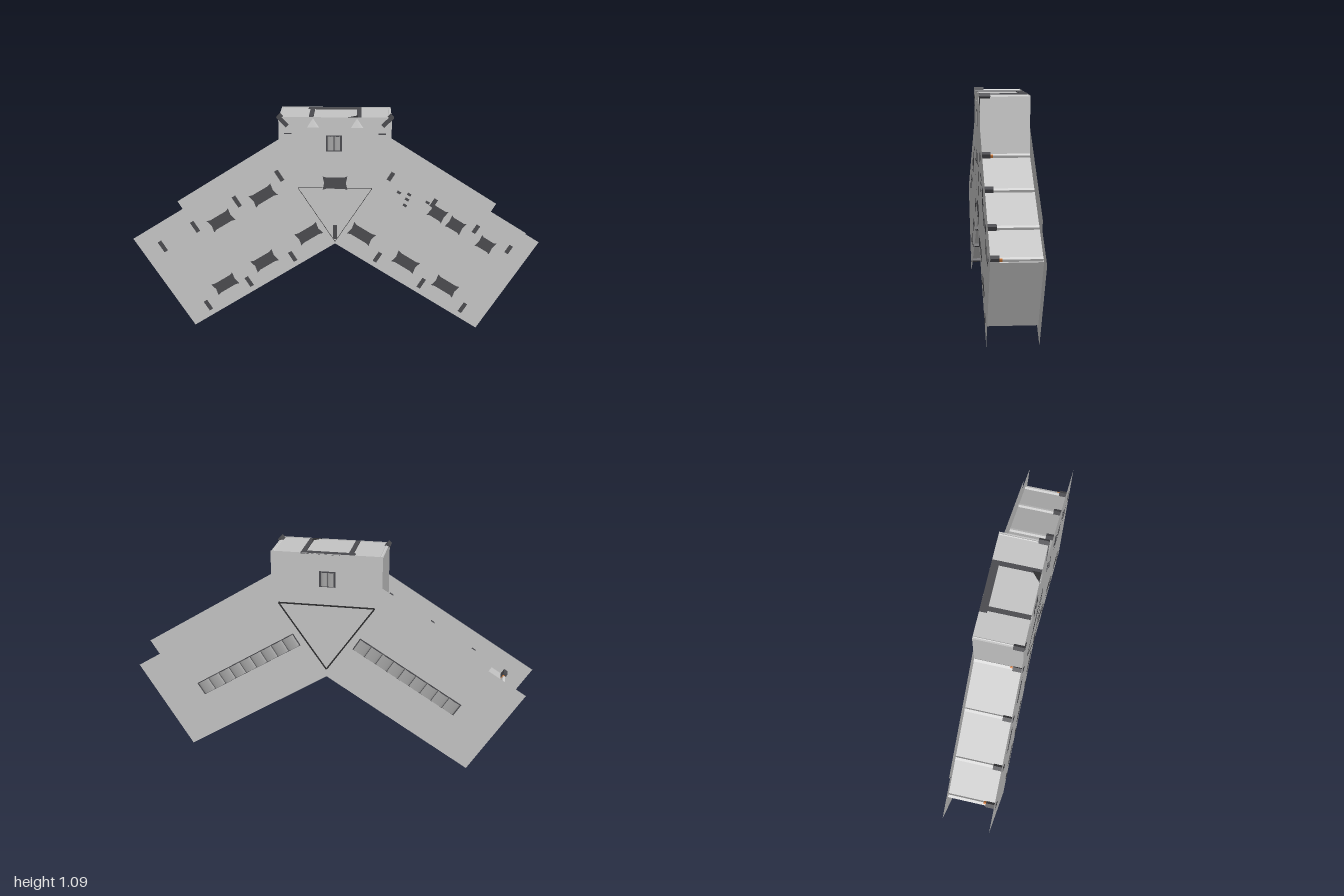
import * as THREE from 'three';

const mat = (name, color, side = THREE.FrontSide) => {
  const m = new THREE.MeshStandardMaterial({ color, side });
  m.name = name;
  return m;
};

const FRONT = 0.121, BACK = -0.115, DEPTH = FRONT - BACK, MID = (FRONT + BACK) / 2;
const SLOPE = Math.atan2(0.46, 0.74); // fall of each wing away from the centre

export function createModel() {
  const root = new THREE.Group();
  root.name = 'wingedBuilding';
  const pale = mat('paleGrey', 0xc4c4c4, THREE.DoubleSide);
  const light = mat('lightGrey', 0xd2d2d2);
  const dark = mat('darkGrey', 0x4a4a4e);
  const line = mat('charcoal', 0x2c2c2e);
  const mid = mat('midGrey', 0xa4a4a4);
  const orange = mat('orange', 0xd8803c);

  const add = (name, geo, material, x = 0, y = 0, z = 0, rot = 0, parent = root) => {
    const m = new THREE.Mesh(geo, material);
    m.name = name;
    m.position.set(x, y, z);
    m.rotation.z = rot;
    parent.add(m);
    return m;
  };
  const box = (name, size, material, x, y, z, rot = 0, parent = root) =>
    add(name, new THREE.BoxGeometry(...size), material, x, y, z, rot, parent);
  const polygon = (pts) => new THREE.Shape(pts.map(([x, y]) => new THREE.Vector2(x, y)));
  const mirrored = (half) => [...half, ...half.filter(([x]) => x !== 0).reverse().map(([x, y]) => [-x, y])];

  // Front and back slabs; the back one steps in near the wing tips
  const frontHalf = [[0, 0.445], [0.71, 0], [1, 0.46], [0.27, 0.915], [0.27, 1.08]];
  const backHalf = [[0, 0.445], [0.71, 0], [0.975, 0.425], [0.79, 0.54], [0.815, 0.582], [0.27, 0.925], [0.27, 1.08]];
  add('frontSlab', new THREE.ShapeGeometry(polygon(mirrored(frontHalf))), pale, 0, 0, FRONT);
  add('backSlab', new THREE.ShapeGeometry(polygon(mirrored(backHalf))), pale, 0, 0, BACK);

  // Recessed walls between the slabs
  const wall = (name, [ax, ay], [bx, by]) => {
    const m = add(name, new THREE.PlaneGeometry(Math.hypot(bx - ax, by - ay), DEPTH), pale, (ax + bx) / 2, (ay + by) / 2, MID);
    m.rotation.order = 'ZXY';
    m.rotation.set(-Math.PI / 2, 0, Math.atan2(by - ay, bx - ax));
  };
  for (const s of [1, -1]) {
    wall('upperWingWall', [s * 0.27, 0.79], [s * 0.865, 0.415]);
    wall('wingEndWall', [s * 0.865, 0.415], [s * 0.66, 0.08]);
    wall('lowerWingWall', [s * 0.66, 0.08], [0, 0.49]);
    wall('towerSideWall', [s * 0.27, 0.79], [s * 0.27, 1.075]);
  }
  wall('towerRoof', [-0.27, 1.075], [0.27, 1.075]);

  // Ribs across the walls: dark head at the front, slim pale tail behind
  const rib = (x, y, rot, length, lamp) => {
    const g = new THREE.Group();
    g.name = 'wallRib';
    g.position.set(x, y, 0);
    g.rotation.z = rot;
    root.add(g);
    box('ribHead', [0.02, length, 0.05], dark, 0, 0, 0.0985, 0, g);
    box('ribTail', [0.014, length * 0.6, 0.187], light, 0, 0, -0.02, 0, g);
    if (lamp) box('ribLamp', [0.008, length * 0.65, 0.012], orange, 0.004, 0, 0.067, 0, g);
  };
  for (const s of [1, -1]) {
    [0.27, 0.48, 0.69, 0.855].forEach((x, i) =>
      rib(s * x, 0.79 - (x - 0.27) * 0.63, -s * SLOPE, s > 0 ? 0.045 : 0.06, i % 3 === 0));
    [0.21, 0.43, 0.64].forEach((x) => rib(s * x, 0.505 - x * 0.62, -s * SLOPE, 0.055, false));
    // Slanted rib on each roof corner
    rib(s * 0.25, 1.06, -s * Math.PI / 4, 0.065, false);
    box('cornerMark', [0.035, 0.006, 0.004], dark, s * 0.225, 1.0, FRONT);
  }
  rib(0, 0.505, 0, 0.07, false);

  // Waisted dark windows on the front
  const windowShape = (w) => new THREE.ShapeGeometry(polygon([
    [-w, -0.034], [-w * 0.7, -0.028], [w * 0.7, -0.028], [w, -0.034],
    [w * 0.88, 0], [w, 0.034], [w * 0.7, 0.028], [-w * 0.7, 0.028], [-w, 0.034], [-w * 0.88, 0]]));
  const frontWindow = (x, y, w, rot) => add('frontWindow', windowShape(w), dark, x, y, FRONT + 0.002, rot);
  frontWindow(0, 0.755, 0.06, 0);
  for (const [x, y] of [[0.13, 0.495], [0.35, 0.35], [0.55, 0.225]])
    for (const s of [1, -1]) frontWindow(s * x, y, 0.063, -s * SLOPE);
  frontWindow(-0.56, 0.56, 0.063, SLOPE);
  frontWindow(-0.35, 0.69, 0.063, SLOPE);
  for (const [x, y] of [[0.5, 0.605], [0.59, 0.545], [0.74, 0.445]]) frontWindow(x, y, 0.042, -SLOPE);
  for (const [x, y] of [[0.31, 0.71], [0.35, 0.675], [0.36, 0.7], [0.45, 0.66], [0.34, 0.645]])
    box('frontStud', [0.02, 0.012, 0.004], dark, x, y, FRONT, -SLOPE);

  // Framed bowed panes on both faces of the tower
  const bow = (w, h, d) => {
    const g = new THREE.CylinderGeometry(w / 2, w / 2, h, 16, 1, true, -Math.PI / 2, Math.PI);
    return g.scale(1, 1, d / (w / 2));
  };
  for (const s of [1, -1]) {
    const z = s > 0 ? FRONT : BACK;
    box('towerWindowFrame', [0.078, 0.078, 0.004], dark, -0.005, 0.953, z);
    for (const dx of [-0.016, 0.016]) {
      const pane = add('towerWindowPane', bow(0.028, 0.068, 0.0055), mid, -0.005 + dx, 0.953, z + s * 0.0015);
      if (s < 0) pane.rotation.y = Math.PI;
    }
    // Pale shades at the tower top
    const shade = add('towerShade', new THREE.ConeGeometry(0.03, 0.045, 16), light, s * 0.105, 1.052, FRONT);
    shade.scale.z = 0.1;
  }

  // Door frame on the tower roof
  box('roofFrameBack', [0.26, 0.005, 0.036], dark, -0.005, 1.077, -0.097);
  for (const s of [1, -1]) {
    box('roofFrameSide', [0.022, 0.005, 0.2], dark, s * 0.114, 1.077, 0.02);
    const foot = add('roofFrameFoot', new THREE.ShapeGeometry(polygon([[0, 0], [s * 0.05, 0], [s * 0.05, 0.045]])),
      mat('darkGrey', 0x4a4a4e, THREE.DoubleSide), s * 0.06, 1.08, 0.12);
    foot.material = line;
    foot.rotation.x = -Math.PI / 2;
    if (s < 0) foot.geometry.index.array.reverse();
  }

  // Triangular hub plate with dark edging on the back
  const strip = (name, [ax, ay], [bx, by], z, w) =>
    box(name, [Math.hypot(bx - ax, by - ay), w, 0.003], line, (ax + bx) / 2, (ay + by) / 2, z, Math.atan2(by - ay, bx - ax));
  const hub = [[-0.235, 0.82], [0, 0.485], [0.235, 0.82]];
  const hubFront = [[-0.18, 0.73], [0, 0.455], [0.18, 0.73]];
  add('hubPlate', new THREE.ShapeGeometry(polygon(hub)), pale, 0, 0, BACK - 0.003);
  for (let i = 0; i < 3; i++) {
    strip('hubEdge', hub[i], hub[(i + 1) % 3], BACK - 0.003, 0.007);
    strip('frontHubLine', hubFront[i], hubFront[(i + 1) % 3], FRONT, 0.002);
  }

  // Rows of bowed skylights along the back of each wing
  const COUNT = 9, PITCH = 0.065;
  for (const s of [1, -1]) {
    const row = new THREE.Group();
    row.name = 'skylightRow';
    row.position.set(s * 0.4, 0.475, BACK);
    row.rotation.z = -s * SLOPE;
    root.add(row);
    box('skylightTray', [COUNT * PITCH + 0.008, 0.07, 0.003], dark, 0, 0, 0, 0, row);
    for (let i = 0; i < COUNT; i++) {
      const pane = add('skylight', bow(PITCH * 0.96, 0.064, 0.0075), mid, (i - (COUNT - 1) / 2) * PITCH, 0, -0.0015, 0, row);
      pane.rotation.y = Math.PI;
    }
  }
  return root;
}
